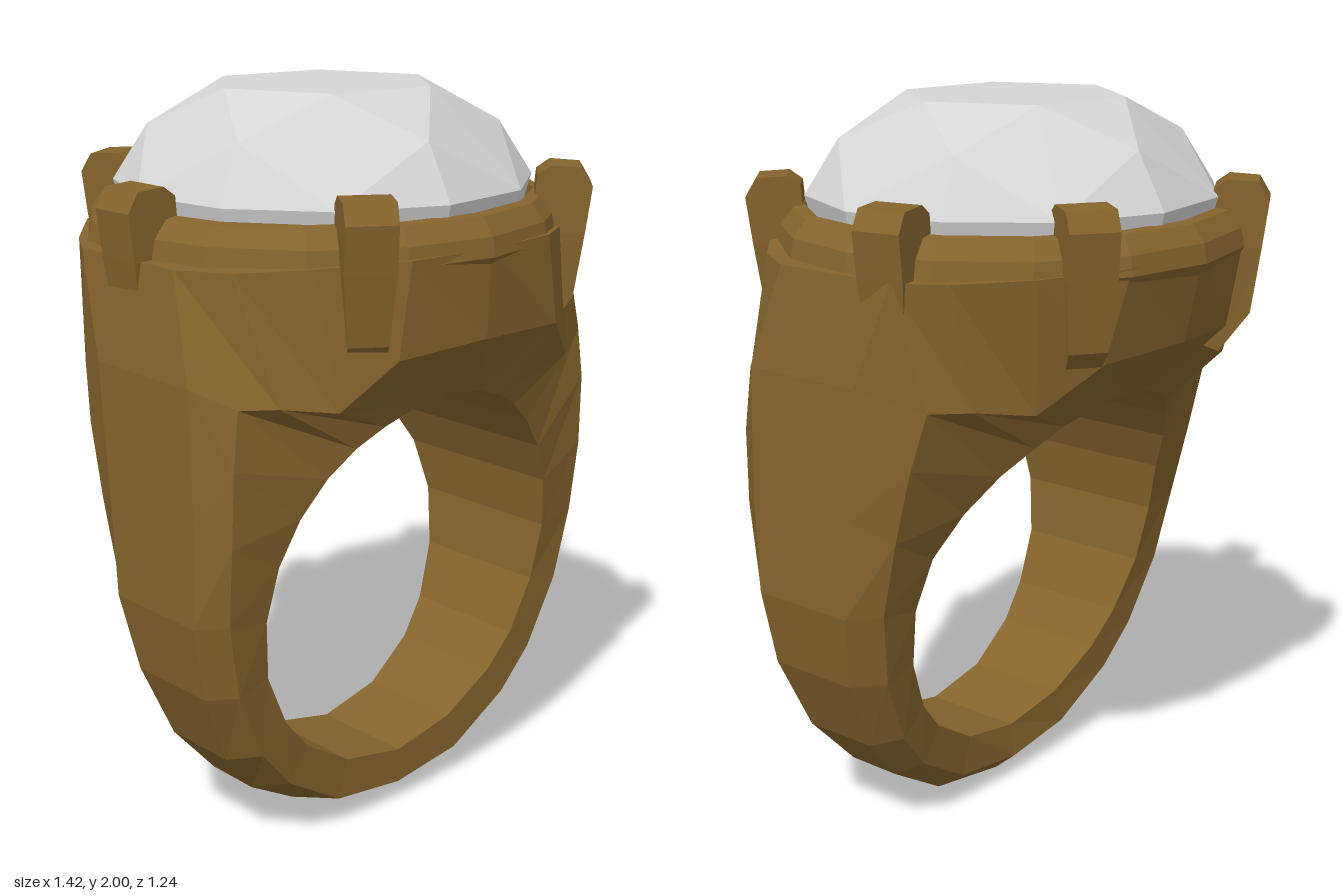
import * as THREE from 'three';
import { ConvexGeometry } from 'three/addons/geometries/ConvexGeometry.js';

const gold = new THREE.MeshStandardMaterial({ color: 0x85642d });
gold.name = 'antique gold';
const crystal = new THREE.MeshStandardMaterial({ color: 0xd5d5d5 });
crystal.name = 'pale crystal';

// Give every face its own flat normal
function faceted(geometry) {
  const g = geometry.index ? geometry.toNonIndexed() : geometry;
  g.computeVertexNormals();
  return g;
}

function part(name, geometry, material) {
  const mesh = new THREE.Mesh(faceted(geometry), material);
  mesh.name = name;
  return mesh;
}

// Band and head: six-point sections swept round the finger hole.
// [hole angle, hole zFront, zBack, | shoulder x, y, zFront, zBack, | outer x, y, zFront, zBack]
const STATIONS = [
  [0, .31, .01, 0, .06, .31, 0, 0, 0, .12, .07],
  [22, .31, 0, .23, .09, .31, 0, .27, .05, .16, .06],
  [42, .32, -.02, .42, .21, .32, -.02, .46, .17, .21, .05],
  [56, .33, -.04, .52, .33, .33, -.04, .58, .31, .25, .03],
  [74, .34, -.07, .61, .53, .345, -.07, .67, .52, .28, .01],
  [92, .36, -.10, .65, .74, .36, -.10, .71, .73, .29, -.02],
  [108, .38, -.14, .655, .95, .38, -.15, .71, 1.0, .30, -.04],
  [122, .40, -.20, .65, 1.15, .385, -.20, .71, 1.35, .29, -.07],
  [135, .42, -.26, .63, 1.30, .38, -.24, .675, 1.62, .20, -.17],
  [146, .44, -.31, .55, 1.30, .44, -.32, .60, 1.62, .33, -.29],
  [156, .46, -.34, .42, 1.28, .51, -.41, .46, 1.63, .46, -.45],
  [167, .47, -.37, .29, 1.40, .58, -.52, .25, 1.64, .58, -.57],
  [180, .47, -.38, 0, 1.41, .60, -.56, 0, 1.64, .61, -.61],
];

function bandGeometry() {
  const section = ([deg, hf, hb, sx, sy, sf, sb, ox, oy, of, ob], side) => {
    const a = THREE.MathUtils.degToRad(deg);
    const hx = .53 * Math.sin(a), hy = .70 - .54 * Math.cos(a);
    return [[hx, hy, hb], [hx, hy, hf], [sx, sy, sf], [ox, oy, of], [ox, oy, ob], [sx, sy, sb]]
      .map(([x, y, z]) => [x * side, y, z]);
  };
  const loops = STATIONS.map((s) => section(s, 1))
    .concat(STATIONS.slice(1, -1).reverse().map((s) => section(s, -1)));
  const n = loops.length, index = [];
  for (let i = 0; i < n; i++) {
    for (let j = 0; j < 6; j++) {
      const k = (i + 1) % n, l = (j + 1) % 6;
      const a = i * 6 + j, b = i * 6 + l, c = k * 6 + l, d = k * 6 + j;
      index.push(a, b, c, a, c, d);
    }
  }
  const g = new THREE.BufferGeometry();
  g.setAttribute('position', new THREE.Float32BufferAttribute(loops.flat(2), 3));
  g.setIndex(index);
  return g;
}

// Bevelled collar around the stone
function rimGeometry() {
  const profile = [[.58, 1.56], [.62, 1.62], [.61, 1.67], [.575, 1.715], [.545, 1.72], [.53, 1.62]];
  const g = new THREE.LatheGeometry(profile.map(([r, y]) => new THREE.Vector2(r, y)), 16);
  g.scale(1.06, 1, 1);
  return g;
}

// Domed stone: staggered rings of points make triangular facets
function stoneGeometry() {
  const points = [];
  const ring = (count, r, y, turn) => {
    for (let i = 0; i < count; i++) {
      const a = (i + turn) / count * Math.PI * 2 + .15;
      points.push(new THREE.Vector3(r * Math.cos(a), y, r * Math.sin(a) * .97));
    }
  };
  ring(6, .31, 2.0, 0);
  ring(6, .475, 1.895, .5);
  ring(12, .57, 1.75, 0);
  ring(12, .54, 1.64, 0);
  return new ConvexGeometry(points);
}

// Claw: side profile extruded, narrowed towards its foot, which sinks into the head
function clawGeometry(radius) {
  const profile = [[-.085, 1.77], [-.05, 1.795], [.03, 1.79], [.06, 1.74], [.045, 1.62],
    [.02, 1.44], [-.06, 1.33], [-.14, 1.36], [-.10, 1.6]];
  const shape = new THREE.Shape(profile.map(([r, y]) => new THREE.Vector2(radius + r, y)));
  const g = new THREE.ExtrudeGeometry(shape, { depth: .13, bevelEnabled: false });
  g.translate(0, 0, -.065);
  const p = g.attributes.position;
  for (let i = 0; i < p.count; i++) {
    const t = THREE.MathUtils.smoothstep(p.getY(i), 1.25, 1.65);
    p.setZ(i, p.getZ(i) * (.6 + .4 * t));
  }
  return g;
}

export function createModel() {
  const ring = new THREE.Group();
  ring.name = 'gemstoneRing';
  ring.add(part('band', bandGeometry(), gold));
  ring.add(part('rim', rimGeometry(), gold));
  ring.add(part('stone', stoneGeometry(), crystal));

  // Six claws holding the stone, placed by x and z
  const claws = new THREE.Group();
  claws.name = 'claws';
  const spots = [[-.31, -.54], [.34, -.50], [.635, -.13], [.44, .48], [-.35, .53], [-.65, .01]];
  for (const [x, z] of spots) {
    const claw = part('claw', clawGeometry(Math.hypot(x, z)), gold);
    claw.rotation.y = -Math.atan2(z, x);
    claws.add(claw);
  }
  ring.add(claws);
  return ring;
}
